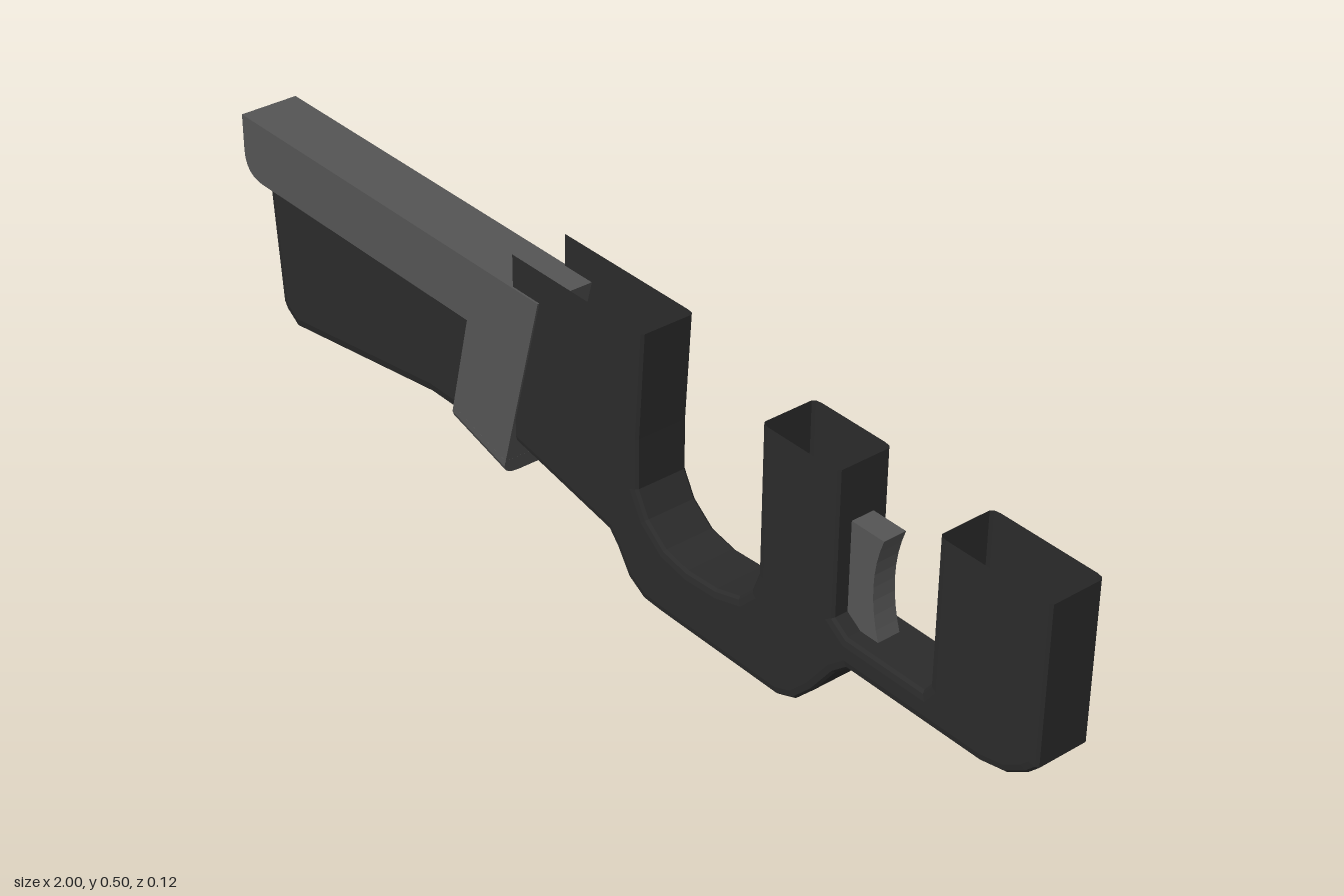
import * as THREE from 'three';

const dark = new THREE.MeshStandardMaterial({ color: 0x2b2b2b, flatShading: true, side: THREE.DoubleSide });
const light = new THREE.MeshStandardMaterial({ color: 0x555555, flatShading: true });

const shapeOf = (pts) => new THREE.Shape(pts.map(([x, y]) => new THREE.Vector2(x, y)));

// Side profile extruded symmetrically about z = 0, with edges chamfered inside the outline
function slab(shape, halfWidth, chamfer = 0, inset = 0) {
  const depth = 2 * (halfWidth - inset);
  const geo = new THREE.ExtrudeGeometry(shape, {
    depth, curveSegments: 8,
    bevelEnabled: chamfer > 0, bevelSize: chamfer, bevelOffset: -chamfer,
    bevelThickness: inset, bevelSegments: 2,
  });
  return geo.translate(0, 0, -depth / 2);
}

// Cut the frame flat at its openings and drop the faces lying in them, leaving an open shell
function openShell(geo) {
  const p = geo.attributes.position;
  const rearX = -0.21;
  const topAt = (x) => (x < 0.3 ? 0.5 : 0.48);
  const kept = [];
  for (let i = 0; i < p.count; i += 3) {
    const tri = [0, 1, 2].map((k) => {
      const x = Math.max(p.getX(i + k), rearX);
      return [x, Math.min(p.getY(i + k), topAt(x)), p.getZ(i + k)];
    });
    const inTop = tri.every(([x, y]) => y > topAt(x) - 1e-5);
    const inRear = tri.every(([x]) => x < rearX + 1e-5);
    if (!inTop && !inRear) kept.push(...tri.flat());
  }
  const out = new THREE.BufferGeometry();
  out.setAttribute('position', new THREE.Float32BufferAttribute(kept, 3));
  out.computeVertexNormals();
  return out;
}

export function createModel() {
  const model = new THREE.Group();
  const add = (name, geo, mat) => {
    const mesh = new THREE.Mesh(geo, mat);
    mesh.name = name;
    model.add(mesh);
    return mesh;
  };

  // Hollow frame with three open-topped sockets and a dipped bridge
  const frame = shapeOf([
    [-0.24, 0.53], [-0.24, 0.139], [0.035, 0.092], [0.055, 0.07], [0.085, 0.025], [0.125, 0.002],
    [0.17, 0], [0.45, 0], [0.49, 0.015], [0.53, 0.055], [0.575, 0.115], [0.605, 0.14],
    [0.89, 0.14], [0.94, 0.15], [0.98, 0.175], [1, 0.195], [1, 0.51],
    [0.78, 0.51], [0.78, 0.215], [0.765, 0.195], [0.6, 0.195], [0.57, 0.215], [0.57, 0.51],
    [0.4, 0.51], [0.4, 0.205], [0.385, 0.165], [0.355, 0.135], [0.3, 0.119], [0.23, 0.115],
    [0.175, 0.126], [0.13, 0.16], [0.105, 0.205], [0.105, 0.3], [0.118, 0.5], [0.118, 0.53],
  ]);
  add('frame', openShell(slab(frame, 0.054, 0.015, 0.007)), dark);

  // Long top rail with the slanted strap running down from its front end
  const rail = new THREE.Shape();
  rail.moveTo(-1, 0.44);
  rail.lineTo(-1, 0.37);
  rail.quadraticCurveTo(-1, 0.32, -0.945, 0.32);
  rail.lineTo(-0.335, 0.32);
  rail.lineTo(-0.382, 0.129);
  rail.lineTo(-0.236, 0.089);
  rail.lineTo(-0.14, 0.44);
  add('railAndStrap', slab(rail, 0.0575), light);

  // Strap foot, rounded across its thickness
  const w = 0.0575;
  const foot = shapeOf([
    [-w, 0.035], [-w, 0.022], [-0.052, 0.01], [-0.04, 0.002], [-0.025, 0],
    [0.025, 0], [0.04, 0.002], [0.052, 0.01], [w, 0.022], [w, 0.035],
  ]);
  const footGeo = new THREE.ExtrudeGeometry(foot, { depth: 0.151, bevelEnabled: false });
  footGeo.rotateY(Math.PI / 2).rotateZ(-0.268).translate(-0.391, 0.095, 0);
  add('strapFoot', footGeo, light);

  // Tapered body under the rail
  const body = shapeOf([
    [-0.947, 0.34], [-0.925, 0.085], [-0.915, 0.07], [-0.88, 0.047],
    [-0.46, 0.109], [-0.3, 0.109], [-0.26, 0.34],
  ]);
  add('lowerBody', slab(body, 0.048, 0.022, 0.014), dark);

  // Curved finger lever
  const lever = new THREE.Shape();
  lever.moveTo(0.565, 0.38);
  lever.lineTo(0.565, 0.19);
  lever.lineTo(0.64, 0.19);
  lever.quadraticCurveTo(0.605, 0.29, 0.64, 0.38);
  add('lever', slab(lever, 0.022), light);

  return model;
}
